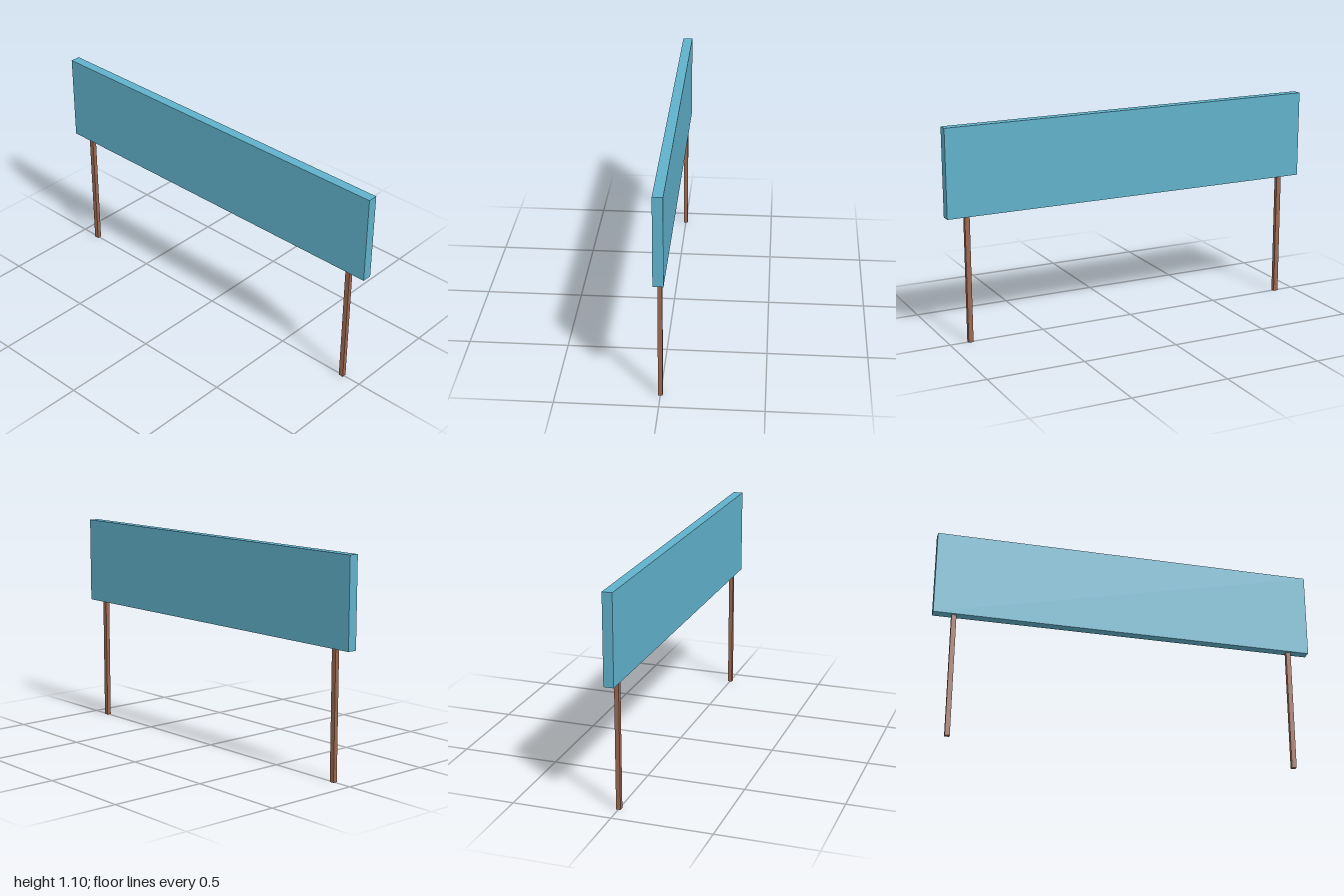
import * as THREE from 'three';

export function createModel() {
  const model = new THREE.Group();
  model.name = 'signboard';

  const blue = new THREE.MeshStandardMaterial({ color: 0x60b1cb });
  blue.name = 'panel blue';
  const brown = new THREE.MeshStandardMaterial({ color: 0x9b6850 });
  brown.name = 'post brown';

  const addBox = (name, material, size, position) => {
    const mesh = new THREE.Mesh(new THREE.BoxGeometry(...size), material);
    mesh.name = name;
    mesh.position.set(...position);
    model.add(mesh);
  };

  // Wide board
  addBox('panel', blue, [2, 0.45, 0.05], [0, 0.875, 0]);

  // Two slim square posts under the board
  for (const [name, side] of [['leftPost', 1], ['rightPost', -1]]) {
    addBox(name, brown, [0.025, 0.65, 0.022], [side * 0.893, 0.325, 0]);
  }

  return model;
}
